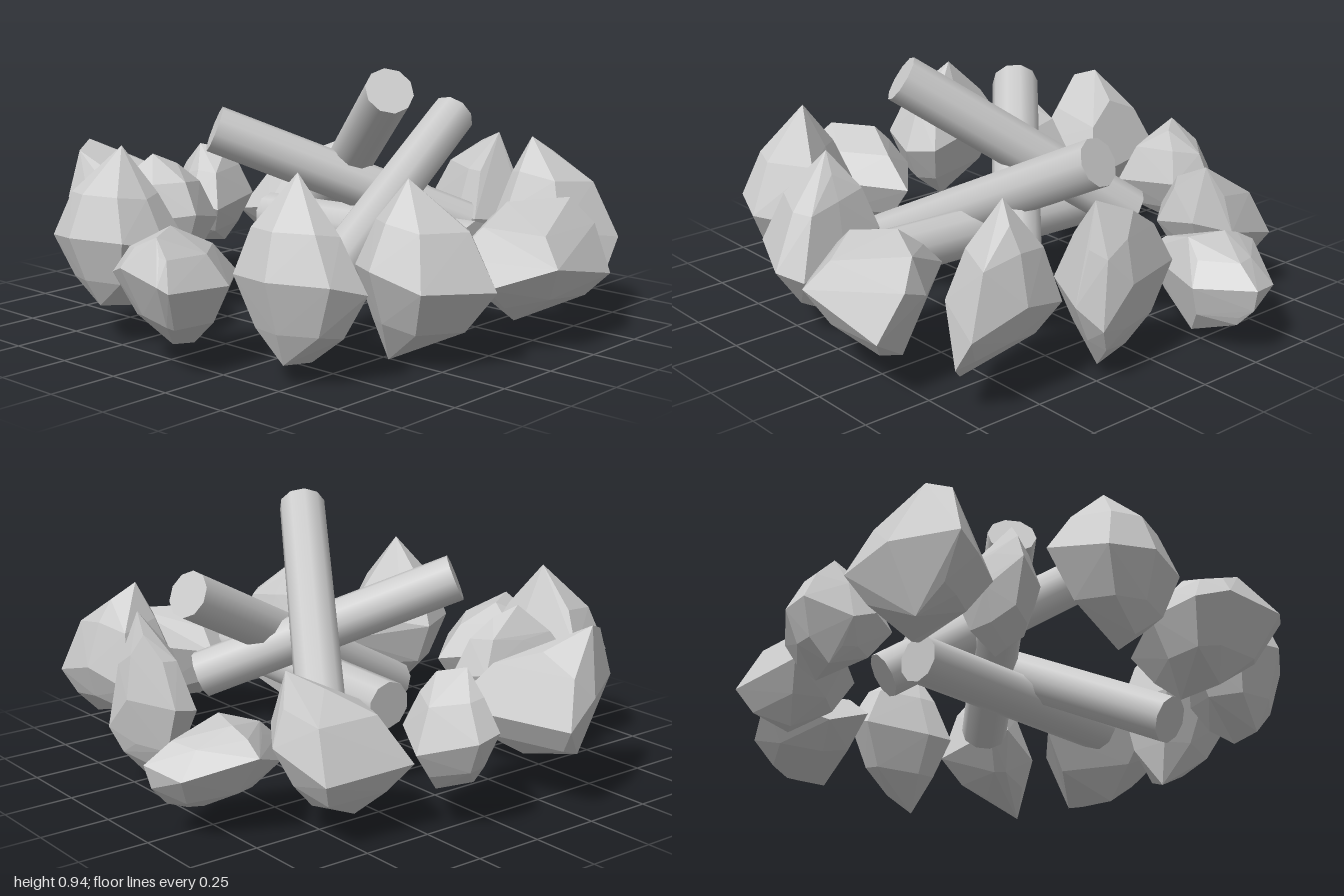
import * as THREE from 'three';
import { ConvexGeometry } from 'three/addons/geometries/ConvexGeometry.js';

const material = new THREE.MeshStandardMaterial({ color: 0xcccccc });
const stoneMaterial = new THREE.MeshStandardMaterial({ color: 0xcccccc, flatShading: true });

// Round log between the centres of its two ends
function makeLog(from, to) {
  const a = new THREE.Vector3(...from);
  const b = new THREE.Vector3(...to);
  const axis = b.clone().sub(a);
  const log = new THREE.Mesh(new THREE.CylinderGeometry(0.085, 0.085, axis.length(), 10), material);
  log.position.copy(a).add(b).multiplyScalar(0.5);
  log.quaternion.setFromUnitVectors(new THREE.Vector3(0, 1, 0), axis.normalize());
  log.name = 'log';
  return log;
}

// Chamfer point between a rim corner and the middle of a crest or foot
function chamfer(corner, ends) {
  const middle = new THREE.Vector3();
  ends.forEach((end) => middle.addScaledVector(end, 1 / ends.length));
  const point = corner.clone().lerp(middle, 0.34);
  point.y = THREE.MathUtils.lerp(corner.y, middle.y, 0.6);
  return point;
}

// Faceted stone: a plan rim, bulging up to its crest and down to its foot
function makeStone({ name, rim, crest, foot }) {
  const toVector = (p) => new THREE.Vector3(...p);
  const tops = crest.map(toVector);
  const bottoms = foot.map(toVector);
  const points = [...tops, ...bottoms];
  for (const corner of rim.map(toVector)) {
    points.push(corner, chamfer(corner, tops), chamfer(corner, bottoms));
  }
  const stone = new THREE.Mesh(new ConvexGeometry(points), stoneMaterial);
  stone.name = name;
  return stone;
}

// Stones around the ring
const backLargeStone = {
  name: 'backLargeStone',
  crest: [[-0.48, 0.59, -0.79], [-0.4, 0.62, -0.83], [-0.24, 0.54, -0.76]],
  foot: [[-0.36, 0.17, -0.82], [-0.22, 0.17, -0.7]],
  rim: [[-0.53, 0.42, -0.8], [-0.33, 0.4, -0.92], [-0.18, 0.32, -0.96], [-0.06, 0.32, -0.5], [-0.44, 0.36, -0.56], [-0.51, 0.38, -0.7]],
};
const backRoundStone = {
  name: 'backRoundStone',
  crest: [[0.1, 0.55, -0.76], [0.16, 0.53, -0.68]],
  foot: [[0.08, 0.16, -0.78], [0.2, 0.15, -0.73]],
  rim: [[-0.03, 0.34, -0.68], [-0.02, 0.3, -0.77], [0.08, 0.36, -0.9], [0.17, 0.34, -0.9], [0.32, 0.3, -0.77], [0.25, 0.35, -0.62], [0.01, 0.32, -0.57]],
};
const backLeftStone = {
  name: 'backLeftStone',
  crest: [[0.58, 0.55, -0.43], [0.5, 0.5, -0.53]],
  foot: [[0.45, 0.09, -0.62], [0.56, 0.12, -0.54]],
  rim: [[0.26, 0.3, -0.55], [0.3, 0.26, -0.74], [0.55, 0.28, -0.7], [0.64, 0.25, -0.72], [0.67, 0.32, -0.48], [0.59, 0.36, -0.36], [0.38, 0.3, -0.4]],
};
const leftFlatStone = {
  name: 'leftFlatStone',
  crest: [[0.7, 0.38, -0.22], [0.74, 0.38, -0.36]],
  foot: [[0.75, 0.06, -0.2], [0.84, 0.09, -0.24]],
  rim: [[0.48, 0.26, -0.24], [0.55, 0.22, -0.36], [0.74, 0.31, -0.51], [0.95, 0.24, -0.38], [1.0, 0.27, -0.24], [0.98, 0.19, -0.25], [0.81, 0.25, -0.13]],
};
const leftTallStone = {
  name: 'leftTallStone',
  crest: [[0.72, 0.63, 0.24], [0.77, 0.58, 0.12]],
  foot: [[0.72, 0.05, 0.22], [0.74, 0.1, 0.11]],
  rim: [[0.55, 0.32, 0.26], [0.57, 0.32, 0.16], [0.68, 0.34, -0.06], [0.77, 0.36, -0.07], [0.82, 0.35, 0.16], [0.82, 0.22, 0.29], [0.75, 0.3, 0.35]],
};
const frontLeftStone = {
  name: 'frontLeftStone',
  crest: [[0.57, 0.66, 0.5], [0.65, 0.6, 0.54]],
  foot: [[0.62, 0.13, 0.72], [0.63, 0.18, 0.55]],
  rim: [[0.45, 0.4, 0.48], [0.48, 0.38, 0.41], [0.7, 0.31, 0.36], [0.75, 0.36, 0.55], [0.74, 0.3, 0.77], [0.66, 0.18, 0.77], [0.5, 0.34, 0.68]],
};
const frontBroadStone = {
  name: 'frontBroadStone',
  crest: [[0.02, 0.44, 0.7], [0.22, 0.49, 0.65], [0.44, 0.49, 0.76]],
  foot: [[0.15, 0.1, 0.74], [0.38, 0.13, 0.76]],
  rim: [[-0.1, 0.35, 0.67], [0.25, 0.34, 0.49], [0.47, 0.36, 0.73], [0.49, 0.4, 0.83], [0.46, 0.24, 0.92], [0.1, 0.32, 0.95], [-0.08, 0.26, 0.8]],
};
const frontPointedStone = {
  name: 'frontPointedStone',
  crest: [[-0.25, 0.63, 0.6], [-0.19, 0.56, 0.62]],
  foot: [[-0.26, 0.01, 0.53], [-0.16, 0.06, 0.6]],
  rim: [[-0.43, 0.35, 0.59], [-0.35, 0.34, 0.46], [-0.14, 0.34, 0.46], [-0.1, 0.3, 0.64], [-0.07, 0.25, 0.83], [-0.15, 0.28, 0.89], [-0.4, 0.3, 0.78]],
};
const frontRightStone = {
  name: 'frontRightStone',
  crest: [[-0.61, 0.68, 0.45], [-0.7, 0.55, 0.44]],
  foot: [[-0.71, 0.08, 0.48], [-0.6, 0.07, 0.5]],
  rim: [[-0.81, 0.37, 0.5], [-0.77, 0.36, 0.32], [-0.61, 0.35, 0.24], [-0.53, 0.36, 0.35], [-0.4, 0.27, 0.53], [-0.57, 0.32, 0.71], [-0.7, 0.36, 0.67]],
};
const rightBroadStone = {
  name: 'rightBroadStone',
  crest: [[-0.91, 0.47, 0.12], [-0.76, 0.47, 0.02]],
  foot: [[-0.83, 0.1, 0.1], [-0.7, 0.07, 0.06]],
  rim: [[-1.0, 0.34, 0.22], [-0.96, 0.36, 0], [-0.9, 0.32, -0.11], [-0.72, 0.3, -0.11], [-0.5, 0.28, 0.06], [-0.72, 0.3, 0.25], [-0.98, 0.32, 0.25]],
};
const rightTallStone = {
  name: 'rightTallStone',
  crest: [[-0.69, 0.69, -0.3], [-0.8, 0.58, -0.3]],
  foot: [[-0.8, 0.15, -0.3], [-0.7, 0.14, -0.26]],
  rim: [[-0.91, 0.4, -0.32], [-0.85, 0.38, -0.48], [-0.64, 0.42, -0.53], [-0.57, 0.42, -0.29], [-0.57, 0.38, -0.13], [-0.69, 0.36, -0.08], [-0.85, 0.4, -0.12]],
};
const backRightStone = {
  name: 'backRightStone',
  crest: [[-0.42, 0.61, -0.45], [-0.34, 0.57, -0.41]],
  foot: [[-0.4, 0.18, -0.45], [-0.32, 0.18, -0.42]],
  rim: [[-0.58, 0.4, -0.57], [-0.4, 0.36, -0.55], [-0.22, 0.4, -0.51], [-0.2, 0.36, -0.35], [-0.37, 0.4, -0.28], [-0.5, 0.38, -0.4]],
};

export function createModel() {
  const model = new THREE.Group();
  model.name = 'campfire';

  // Leaning stack of logs
  const logs = new THREE.Group();
  logs.name = 'logStack';
  logs.add(
    makeLog([0.097, 0.32, -0.365], [0.097, 0.35, 0.61]),
    makeLog([-0.27, 0.7, -0.285], [0.42, 0.33, 0.31]),
    makeLog([-0.095, 0.88, 0.385], [0.34, 0.35, -0.3]),
    makeLog([-0.475, 0.135, 0.3], [0.595, 0.695, 0.11]),
  );
  model.add(logs);

  // Ring of stones
  const ring = new THREE.Group();
  ring.name = 'stoneRing';
  const stones = [
    backLargeStone, backRoundStone, backLeftStone, leftFlatStone, leftTallStone, frontLeftStone,
    frontBroadStone, frontPointedStone, frontRightStone, rightBroadStone, rightTallStone, backRightStone,
  ];
  for (const stone of stones) ring.add(makeStone(stone));
  model.add(ring);

  return model;
}
